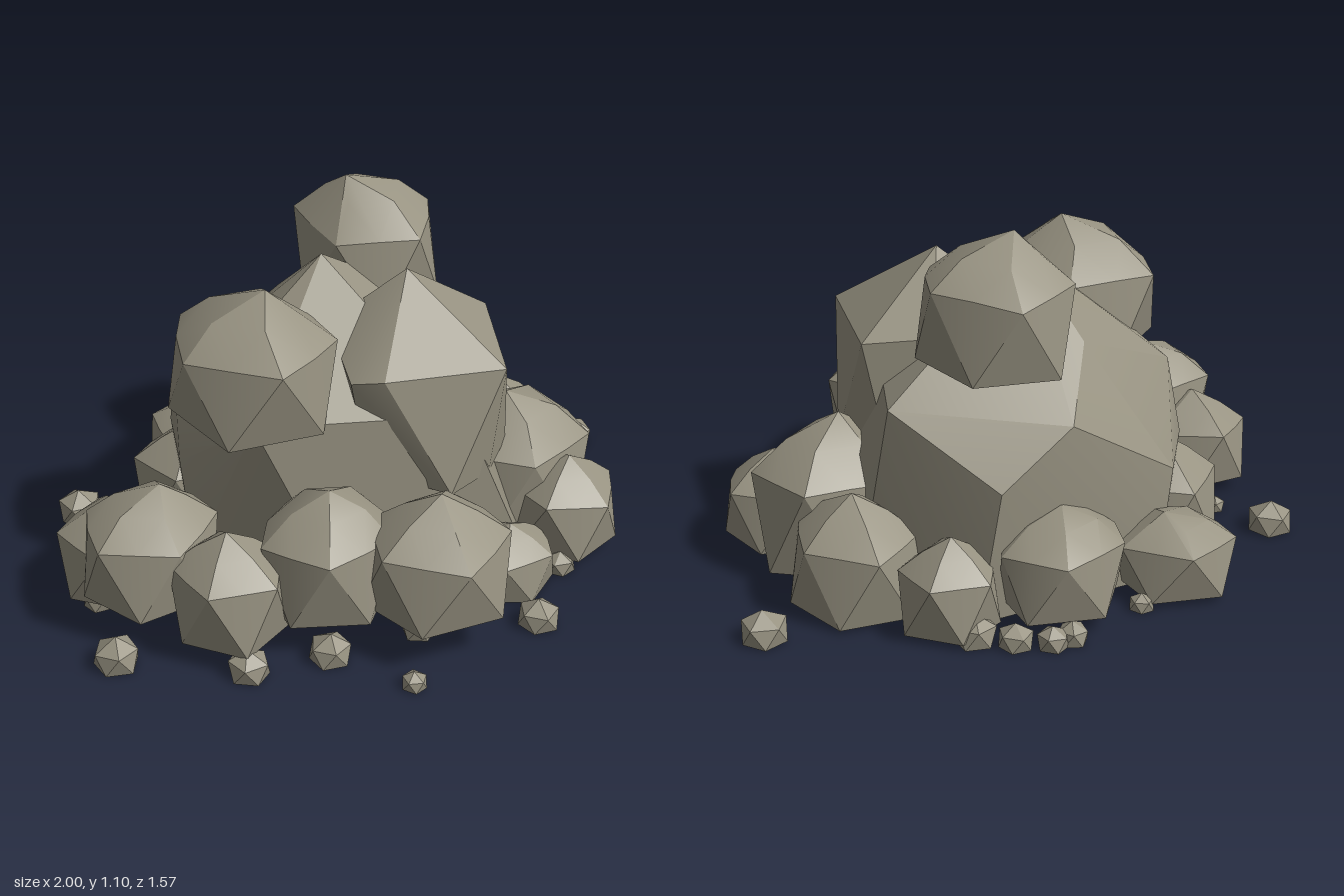
import * as THREE from 'three';
import { ConvexGeometry } from 'three/addons/geometries/ConvexGeometry.js';
import { toCreasedNormals } from 'three/addons/utils/BufferGeometryUtils.js';

const stone = new THREE.MeshStandardMaterial({ color: 0x989382 });
stone.name = 'stone';

function seeded(seed) {
  let s = seed * 7919 + 17;
  return () => (s = (s * 16807) % 2147483647) / 2147483647;
}

function rock(name, points) {
  const mesh = new THREE.Mesh(toCreasedNormals(new ConvexGeometry(points), 0.42), stone);
  mesh.name = name;
  return mesh;
}

// Flat-bottomed five-sided boulder filling the box x0..x1, y0..y1, z0..z1.
// turn rotates the facets, bulge rounds the cap above the shoulder ring,
// apex optionally places the peak at a given x, z.
function boulder(name, [x0, x1], [y0, y1], [z0, z1], turn, bulge, apex) {
  const rnd = seeded(Math.round(turn * 100) + 3);
  const cap = [new THREE.Vector3((rnd() - 0.5) * 0.1, 1, (rnd() - 0.5) * 0.1)];
  const foot = [];
  for (let i = 0; i < 5; i++) {
    for (const [ring, y, half] of [[cap, 0.447, 0], [foot, -0.447, 0.5]]) {
      const a = turn + ((i + half) * Math.PI * 2) / 5;
      const r = 0.894 * (0.97 + rnd() * 0.06);
      const lift = ring === cap ? (rnd() - 0.5) * 0.1 : 0;
      ring.push(new THREE.Vector3(Math.cos(a) * r, y + lift, Math.sin(a) * r));
    }
  }
  const points = [...cap, ...foot];
  if (bulge > 1) {
    for (let i = 0; i < 5; i++) {
      const next = cap[1 + ((i + 1) % 5)];
      for (const other of [cap[0], next]) {
        points.push(cap[1 + i].clone().lerp(other, 0.5).multiplyScalar(bulge));
      }
    }
  }
  // Fit the points to the box
  const box = new THREE.Box3().setFromPoints(points);
  const size = box.getSize(new THREE.Vector3());
  for (const p of points) {
    p.set(
      x0 + ((p.x - box.min.x) / size.x) * (x1 - x0),
      y0 + ((p.y - box.min.y) / size.y) * (y1 - y0),
      z0 + ((p.z - box.min.z) / size.z) * (z1 - z0)
    );
  }
  if (apex) points[0].set(apex[0], y1, apex[1]);
  return rock(name, points);
}

export function createModel() {
  const group = new THREE.Group();
  group.name = 'rockPile';
  const vectors = (list) => list.map((p) => new THREE.Vector3(...p));

  // Central mass: apex, shoulder ring and broad foot
  group.add(rock('mainRock', vectors([
    [-0.02, 0.95, -0.1],
    [0.53, 0.61, -0.08], [0.2, 0.58, -0.49], [-0.4, 0.57, -0.34], [-0.43, 0.6, 0.12], [0.1, 0.6, 0.43],
    [-0.34, 0.72, -0.1], [0.0, 0.74, -0.35],
    [0.42, 0.42, -0.42], [-0.18, 0.34, -0.55], [-0.47, 0.34, -0.22], [-0.37, 0.36, -0.42],
    [0.45, 0, -0.36], [-0.12, 0, -0.55], [-0.44, 0, -0.2], [-0.22, 0, 0.3], [0.36, 0, 0.45], [0.54, 0, 0.05],
  ])));

  // Big angular boulder leaning on the front: apex, shoulders, underside
  group.add(rock('frontBoulder', vectors([
    [0.12, 0.95, 0.13],
    [0.22, 0.73, 0.47], [-0.11, 0.73, 0.32], [-0.17, 0.71, 0.24], [-0.05, 0.76, -0.03],
    [0.3, 0.75, -0.04], [0.44, 0.73, 0.12],
    [0.37, 0.36, 0.31], [0.04, 0.36, 0.45], [0.21, 0.36, 0.42], [-0.09, 0.38, 0.22], [0.4, 0.36, 0.05], [0.1, 0.36, -0.08],
  ])));

  // Upper boulders
  group.add(
    boulder('topRightBoulder', [-0.58, -0.1], [0.58, 0.97], [-0.26, 0.25], 0.62, 1.08, [-0.31, 0.02]),
    boulder('topLeftBoulder', [0.04, 0.45], [0.72, 1.1], [-0.46, 0.01], 0.2, 1.08, [0.18, -0.24])
  );

  // Skirt of boulders around the foot: x range, y range, z range, turn, bulge, apex
  const skirt = [
    [[-0.33, 0.11], [0.13, 0.48], [0.36, 0.78], 1.8, 1.06, [-0.1, 0.57]],
    [[-0.92, -0.52], [0.11, 0.45], [-0.2, 0.18], 0.4, 1.08, [-0.68, 0]],
    [[-0.9, -0.56], [0.04, 0.32], [-0.36, 0], 2.5, 1.05],
    [[-0.78, -0.45], [0.07, 0.39], [0.08, 0.42], 1.3, 1.05],
    [[-0.54, -0.14], [0.11, 0.47], [0.16, 0.54], 0.9, 1.12],
    [[-0.3, 0.05], [0.02, 0.25], [-0.79, -0.42], 0.3, 1.06, [-0.08, -0.6]],
    [[-0.51, -0.14], [0.02, 0.36], [-0.56, -0.2], 1.2, 1.04],
    [[0.04, 0.43], [0.05, 0.34], [-0.66, -0.3], 1.6, 1.12],
    [[0.38, 0.67], [0.02, 0.29], [-0.46, -0.16], 2.1, 1.05],
    [[0.42, 0.79], [0.01, 0.36], [-0.21, 0.18], 0.1, 1.06],
    [[0.22, 0.71], [0.04, 0.48], [0.02, 0.46], 0.7, 1.08, [0.43, 0.24]],
    [[0.34, 0.67], [0.04, 0.32], [0.27, 0.61], 1.4, 1.06],
    [[0.09, 0.37], [0, 0.21], [0.38, 0.63], 2.3, 1.06],
  ];
  skirt.forEach((s, i) => group.add(boulder('skirtRock' + (i + 1), ...s)));

  // Loose pebbles: x, z, radius
  const pebbles = [
    [-0.61, -0.6, 0.066], [-0.6, -0.39, 0.032], [-0.934, 0.13, 0.066], [-0.66, 0.4, 0.06],
    [-0.32, 0.73, 0.036], [0.16, 0.72, 0.06], [0.934, 0.02, 0.066], [0.47, -0.52, 0.05],
    [0.34, -0.62, 0.045], [0.4, -0.6, 0.045], [0.06, -0.64, 0.035], [0.53, -0.42, 0.06],
    [-0.43, 0.48, 0.06], [-0.15, 0.54, 0.05], [0.4, 0.55, 0.045], [-0.82, -0.15, 0.045],
  ];
  pebbles.forEach(([x, z, r], i) => {
    group.add(boulder('pebble' + (i + 1), [x - r, x + r], [0, r * 1.45], [z - r, z + r], i * 0.37, 1));
  });
  return group;
}
